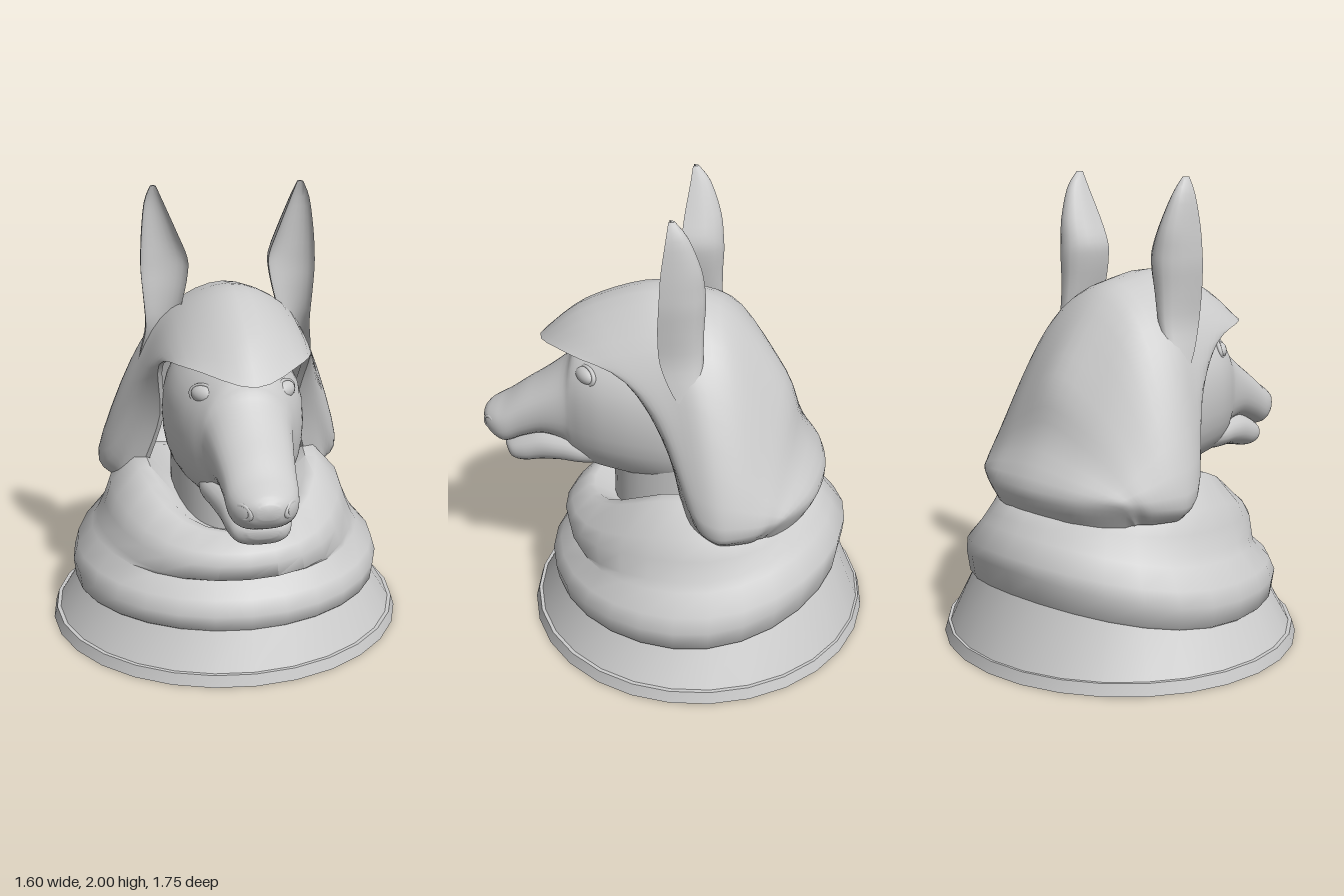
import * as THREE from 'three';
import { toCreasedNormals } from 'three/addons/utils/BufferGeometryUtils.js';

const solid = new THREE.MeshStandardMaterial({ color: 0xcccccc });
const open = new THREE.MeshStandardMaterial({ color: 0xcccccc, side: THREE.DoubleSide });

// Catmull-Rom resampling of rows of numbers into n + 1 rows
function resample(rows, n) {
  const last = rows.length - 1;
  return Array.from({ length: n + 1 }, (_, k) => {
    const f = (k / n) * last, i = Math.min(Math.floor(f), last - 1), t = f - i;
    const [p, q, r, s] = [-1, 0, 1, 2].map((o) => rows[Math.max(0, Math.min(last, i + o))]);
    return q.map((b, c) => {
      const a = p[c], e = r[c], d = s[c];
      return b + 0.5 * t * (e - a + t * (2 * a - 5 * b + 4 * e - d + t * (3 * (b - e) + d - a)));
    });
  });
}

// Skin over rings of [x, y, z]; closed rings get end caps
function loft(rings, closed = true, crease = 0.9) {
  const m = rings[0].length, pos = rings.flat(2), idx = [];
  const cols = closed ? m : m - 1;
  for (let i = 0; i < rings.length - 1; i++)
    for (let j = 0; j < cols; j++) {
      const a = i * m + j, b = i * m + ((j + 1) % m);
      idx.push(a, b, b + m, a, b + m, a + m);
    }
  if (closed)
    [0, rings.length - 1].forEach((r, end) => {
      const c = pos.length / 3;
      for (let k = 0; k < 3; k++) pos.push(rings[r].reduce((s, p) => s + p[k], 0) / m);
      for (let j = 0; j < m; j++) {
        const a = r * m + j, b = r * m + ((j + 1) % m);
        end ? idx.push(c, a, b) : idx.push(c, b, a);
      }
    });
  const g = new THREE.BufferGeometry();
  g.setAttribute('position', new THREE.Float32BufferAttribute(pos, 3));
  g.setIndex(idx);
  g.computeVertexNormals();
  return crease ? toCreasedNormals(g, crease) : g;
}

const ring = (n, fn) => Array.from({ length: n }, (_, j) => fn((j / n) * Math.PI * 2));
const power = (v, e) => Math.sign(v) * Math.abs(v) ** e;

export function createModel() {
  const model = new THREE.Group();
  const add = (name, geo, mat = solid) => {
    const mesh = new THREE.Mesh(geo, mat);
    mesh.name = name;
    model.add(mesh);
    return mesh;
  };

  // Round base and folded collar: [yFront, ySide, yBack, halfWidth, zFront, zBack]
  const wrapRing = ([yf, ys, yb, rx, zf, zb]) => ring(28, (t) => {
    const s = Math.sin(t), c = Math.cos(t);
    const w = c > 0 ? 1 - s ** 4 : c * c;
    return [rx * s, ys + ((c > 0 ? yf : yb) - ys) * w, -0.1 + c * (c > 0 ? zf + 0.1 : -0.1 - zb)];
  });
  add('base', loft([
    [0, 0, 0, 0.8, 0.66, -0.875],
    [0.05, 0.05, 0.05, 0.785, 0.645, -0.86],
    [0.05, 0.05, 0.05, 0.768, 0.63, -0.85],
    [0.21, 0.2, 0.31, 0.675, 0.545, -0.745],
  ].map(wrapRing), true, 0.6));
  add('collar', loft([
    [0.2, 0.19, 0.3, 0.67, 0.54, -0.74],
    [0.215, 0.205, 0.32, 0.69, 0.555, -0.75],
    [0.28, 0.29, 0.42, 0.7, 0.567, -0.765],
    [0.34, 0.36, 0.48, 0.68, 0.53, -0.77],
    [0.4, 0.44, 0.56, 0.61, 0.46, -0.71],
    [0.412, 0.48, 0.6, 0.585, 0.487, -0.68],
    [0.485, 0.56, 0.63, 0.55, 0.508, -0.65],
    [0.53, 0.65, 0.645, 0.52, 0.478, -0.62],
    [0.595, 0.775, 0.65, 0.41, 0.405, -0.55],
    [0.595, 0.78, 0.64, 0.36, 0.375, -0.5],
    [0.55, 0.68, 0.6, 0.27, 0.29, -0.4],
  ].map(wrapRing)));

  // Hood: half arches from crown to hem, ordered from brim to back
  const halfArches = [
    [[0, 1.31, 0.6], [0.235, 1.345, 0.42], [0.325, 1.285, 0.165], [0.305, 1, 0.005], [0.37, 0.75, -0.08]],
    [[0, 1.47, 0.42], [0.245, 1.405, 0.27], [0.36, 1.245, 0.08], [0.405, 0.95, -0.05], [0.46, 0.69, -0.13]],
    [[0, 1.58, 0.15], [0.24, 1.465, 0.06], [0.38, 1.23, -0.04], [0.515, 0.8, -0.15], [0.49, 0.66, -0.19]],
    [[0, 1.57, -0.05], [0.24, 1.46, -0.1], [0.405, 1.21, -0.17], [0.555, 0.755, -0.25], [0.5, 0.63, -0.26]],
    [[0, 1.5, -0.24], [0.22, 1.39, -0.27], [0.39, 1.12, -0.31], [0.54, 0.75, -0.34], [0.49, 0.63, -0.32]],
    [[0, 1.2, -0.475], [0.2, 1.1, -0.46], [0.36, 0.95, -0.44], [0.495, 0.74, -0.43], [0.46, 0.63, -0.39]],
    [[0, 0.95, -0.56], [0.19, 0.9, -0.55], [0.34, 0.83, -0.52], [0.455, 0.735, -0.48], [0.43, 0.63, -0.42]],
    [[0, 0.75, -0.67], [0.2, 0.745, -0.642], [0.32, 0.735, -0.59], [0.42, 0.715, -0.515], [0.42, 0.63, -0.44]],
    [[0, 0.62, -0.62], [0.18, 0.62, -0.6], [0.3, 0.62, -0.545], [0.38, 0.62, -0.48], [0.4, 0.61, -0.42]],
  ];
  const arches = halfArches.map((h) =>
    resample([...h.slice(1).reverse().map(([x, y, z]) => [-x, y, z]), ...h], 32));
  const hoodRows = resample(arches.map((a) => a.flat()), 32).map((row) =>
    Array.from({ length: row.length / 3 }, (_, i) => row.slice(i * 3, i * 3 + 3)));
  add('hood', loft(hoodRows, false, 0), open);
  // Turned-in lip along the face opening
  const lip = arches[0].map(([x, y, z]) => [x * 0.93, y - 0.005, z - 0.025]);
  add('hoodLip', loft([lip, arches[0]], false, 0), open);

  // Head and jaw, from back to nose: [z, yTop, yBottom, halfWidth]
  const faceLoft = (rows, n) => loft(resample(rows, n).map(([z, top, bot, w]) => ring(32, (t) => {
    const c = Math.cos(t), s = Math.sin(t);
    return [
      w * power(c, s > 0 ? 1.05 : 0.72),
      (top + bot) / 2 + (power(s, 0.88) * (top - bot)) / 2,
      z,
    ];
  })), true, 1.1);
  add('head', faceLoft([
    [-0.15, 1.36, 0.68, 0.26],
    [0, 1.39, 0.68, 0.295],
    [0.15, 1.37, 0.7, 0.295],
    [0.28, 1.345, 0.715, 0.27],
    [0.37, 1.325, 0.725, 0.235],
    [0.435, 1.295, 0.745, 0.2],
    [0.475, 1.225, 0.81, 0.185],
    [0.58, 1.135, 0.845, 0.165],
    [0.68, 1.065, 0.82, 0.152],
    [0.76, 1.005, 0.785, 0.145],
    [0.81, 0.975, 0.8, 0.125],
    [0.85, 0.95, 0.83, 0.09],
    [0.872, 0.925, 0.865, 0.045],
  ], 48));
  add('jaw', faceLoft([
    [0.3, 0.9, 0.74, 0.18],
    [0.4, 0.9, 0.735, 0.195],
    [0.5, 0.895, 0.73, 0.175],
    [0.6, 0.885, 0.71, 0.15],
    [0.68, 0.85, 0.692, 0.135],
    [0.74, 0.815, 0.7, 0.112],
    [0.775, 0.795, 0.74, 0.06],
  ], 24));
  const neck = add('neck', new THREE.CylinderGeometry(1, 1, 0.5, 32));
  neck.scale.set(0.25, 1, 0.33);
  neck.position.set(0, 0.73, -0.05);

  // Upright cupped ear: [y, xInner, xOuter, zFront, zBack]
  const earGeo = loft(resample([
    [1.235, 0.31, 0.385, -0.07, -0.165],
    [1.29, 0.29, 0.375, -0.035, -0.162],
    [1.4, 0.235, 0.358, 0.01, -0.16],
    [1.53, 0.197, 0.366, 0.017, -0.16],
    [1.63, 0.176, 0.374, 0.012, -0.165],
    [1.7, 0.176, 0.374, 0.008, -0.162],
    [1.8, 0.215, 0.368, 0.002, -0.148],
    [1.93, 0.27, 0.352, -0.015, -0.1],
    [2, 0.3, 0.325, -0.022, -0.045],
  ], 24).map(([y, xi, xo, zf, zb]) => ring(20, (t) => {
    const s = Math.sin(t);
    const depth = s > 0 ? s : -0.4 * s;
    return [(xi + xo) / 2 + ((xo - xi) / 2) * Math.cos(t), y, zf + (zb - zf) * depth];
  })));

  // Paired features
  for (const [side, sx] of [['left', 1], ['right', -1]]) {
    add(side + 'Ear', earGeo).scale.x = sx;

    const eye = new THREE.Group();
    eye.name = side + 'Eye';
    const ball = new THREE.Mesh(new THREE.SphereGeometry(0.055, 20, 14), solid);
    ball.name = 'eyeball';
    ball.scale.set(1.1, 0.68, 0.6);
    const lid = new THREE.Mesh(new THREE.TorusGeometry(0.057, 0.01, 8, 24), solid);
    lid.name = 'eyelid';
    lid.scale.set(1.1, 0.7, 1);
    eye.add(ball, lid);
    eye.position.set(sx * 0.17, 1.212, 0.365);
    eye.rotation.set(-0.25, sx * 0.8, 0, 'YXZ');
    model.add(eye);

    const nostril = add(side + 'Nostril', new THREE.TorusGeometry(0.03, 0.011, 8, 20));
    nostril.scale.set(1.1, 0.85, 1);
    nostril.position.set(sx * 0.09, 0.89, 0.832);
    nostril.rotation.set(0, sx * 0.85, sx * 0.4, 'YXZ');
  }
  return model;
}
